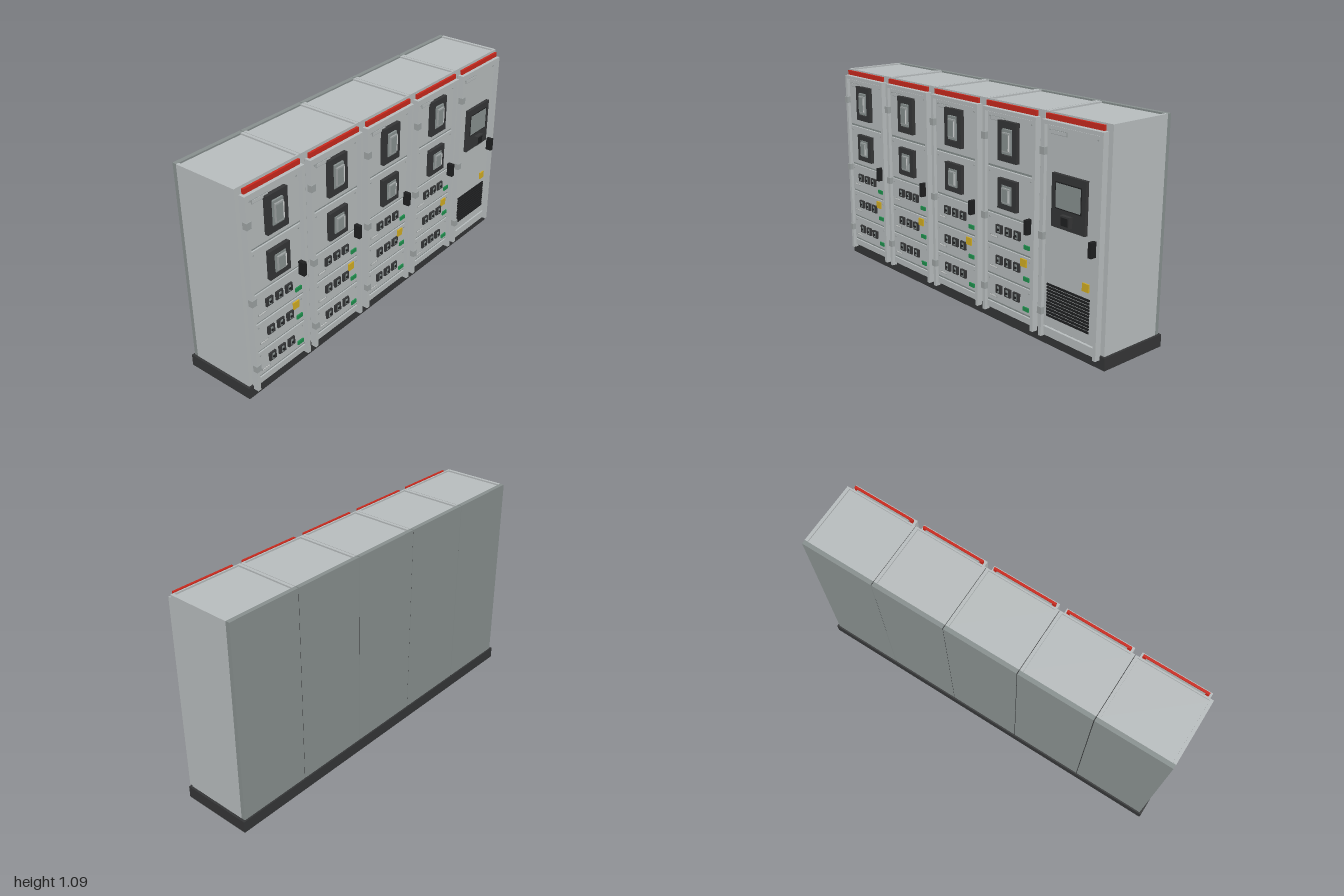
import * as THREE from 'three';

const mat = (name, color) => {
  const m = new THREE.MeshStandardMaterial({ color });
  m.name = name;
  return m;
};

export function createModel() {
  const M = {
    shell: mat('light grey steel', 0xb6bbbc),
    back: mat('mid grey steel', 0x868e8d),
    trim: mat('fitting grey', 0x9ba1a1),
    dark: mat('charcoal', 0x343536),
    black: mat('black', 0x1e1f20),
    red: mat('red', 0xc8281c),
    glass: mat('glass grey', 0x87908f),
    green: mat('green', 0x1f8f4d),
    yellow: mat('yellow', 0xd0ab22),
    pale: mat('pale grey', 0xd2d5d4),
  };

  // Box given by its min and max on each axis
  const box = (parent, name, m, x0, x1, y0, y1, z0, z1) => {
    const mesh = new THREE.Mesh(new THREE.BoxGeometry(x1 - x0, y1 - y0, z1 - z0), m);
    mesh.position.set((x0 + x1) / 2, (y0 + y1) / 2, (z0 + z1) / 2);
    mesh.name = name;
    parent.add(mesh);
    return mesh;
  };
  // Rectangular ring facing +z
  const ring = (parent, name, m, x0, x1, y0, y1, z0, z1, t) => {
    const s = new THREE.Shape([[x0, y0], [x1, y0], [x1, y1], [x0, y1]].map(p => new THREE.Vector2(...p)));
    s.holes.push(new THREE.Path([[x0 + t, y0 + t], [x0 + t, y1 - t], [x1 - t, y1 - t], [x1 - t, y0 + t]]
      .map(p => new THREE.Vector2(...p))));
    const mesh = new THREE.Mesh(new THREE.ExtrudeGeometry(s, { depth: z1 - z0, bevelEnabled: false }), m);
    mesh.position.z = z0;
    mesh.name = name;
    parent.add(mesh);
  };

  const DOOR = 0.18; // front surface of the doors
  const screw = (g, x, y) => {
    const s = new THREE.Mesh(new THREE.CylinderGeometry(0.004, 0.004, 0.004, 8), M.trim);
    s.rotation.x = Math.PI / 2;
    s.position.set(x, y, DOOR + 0.001);
    s.name = 'doorScrew';
    g.add(s);
  };
  const leaf = (g, y0, y1) => {
    box(g, 'doorLeaf', M.shell, -0.157, 0.155, y0, y1, 0.166, DOOR);
    for (const x of [-0.14, 0.14]) screw(g, x, y1 - 0.018);
  };

  // Steel carcass, door surround, hinges and handle shared by every bay
  const cabinet = (g) => {
    const w = 0.1965;
    box(g, 'carcass', M.shell, -w, w, 0.055, 1.08, -0.185, 0.155);
    box(g, 'backPanel', M.back, -w + 0.001, w - 0.001, 0.055, 1.088, -0.207, -0.185);
    for (const s of [-1, 1]) {
      const a = s * w, b = s * (w - 0.016);
      box(g, 'roofRail', M.shell, Math.min(a, b), Math.max(a, b), 1.08, 1.088, -0.185, 0.155);
    }
    box(g, 'roofFrontRail', M.shell, -w + 0.016, w - 0.016, 1.08, 1.088, 0.147, 0.155);
    box(g, 'doorBacking', M.trim, -0.172, 0.172, 0.062, 1.05, 0.155, 0.166);
    for (const s of [-1, 1]) {
      const a = s * 0.179, b = s * 0.161;
      box(g, 'doorPost', M.shell, Math.min(a, b), Math.max(a, b), 0.043, 1.057, 0.162, 0.194);
    }
    box(g, 'doorTopRail', M.shell, -0.161, 0.161, 1.039, 1.057, 0.162, 0.194);
    box(g, 'redStrip', M.red, -0.168, 0.168, 1.06, 1.084, 0.168, 0.18);
    box(g, 'stripBracket', M.trim, -0.15, 0.15, 1.064, 1.078, 0.155, 0.168);
    for (const y of [0.92, 0.532, 0.171]) {
      box(g, 'hinge', M.trim, -0.183, -0.155, y - 0.017, y + 0.017, 0.175, 0.2);
    }
    box(g, 'namePlate', M.trim, -0.132, -0.035, 0.999, 1.02, DOOR, 0.184);
    box(g, 'namePlateFace', M.shell, -0.129, -0.038, 1.002, 1.017, 0.184, 0.186);
    box(g, 'doorHandle', M.black, 0.131, 0.151, 0.513, 0.583, DOOR, 0.213);
  };

  // Large breaker window with a protruding operating body
  const breakerWindow = (g, y0, y1) => {
    const h = y1 - y0, c = (y0 + y1) / 2;
    box(g, 'breakerBezelBase', M.dark, -0.064, 0.062, y0, y1, DOOR, 0.191);
    ring(g, 'breakerBezel', M.dark, -0.065, 0.063, y0, y1, 0.191, 0.2, 0.03);
    box(g, 'breakerBody', M.glass, -0.033, 0.033, c - h * 0.31, c + h * 0.31, 0.191, 0.203);
    box(g, 'breakerFace', M.trim, -0.024, 0.028, c - h * 0.24, c + h * 0.24, 0.203, 0.212);
    box(g, 'breakerGlass', M.glass, -0.021, 0.018, c - h * 0.21, c + h * 0.21, 0.212, 0.2135);
    box(g, 'breakerLever', M.pale, 0.021, 0.026, c - h * 0.2, c + h * 0.2, 0.212, 0.214);
  };

  // Row of three small switches with its label and indicator
  const switchRow = (g, y) => {
    for (const x of [-0.067, -0.004, 0.058]) {
      box(g, 'switchBody', M.dark, x - 0.021, x + 0.021, y - 0.021, y + 0.021, DOOR, 0.19);
      box(g, 'switchFace', M.glass, x - 0.007, x + 0.007, y - 0.015, y + 0.015, 0.19, 0.192);
      box(g, 'switchToggle', M.black, x - 0.005, x + 0.005, y - 0.006, y + 0.004, 0.192, 0.196);
    }
    box(g, 'rowLabel', M.trim, -0.136, -0.083, y - 0.05, y - 0.037, DOOR, 0.183);
    box(g, 'rowLabelFace', M.pale, -0.133, -0.086, y - 0.047, y - 0.04, 0.183, 0.184);
    box(g, 'greenIndicator', M.green, 0.103, 0.141, y - 0.052, y - 0.032, DOOR, 0.187);
  };

  const feederBay = (g) => {
    cabinet(g);
    [[0.787, 1.034], [0.56, 0.773], [0.402, 0.548], [0.247, 0.39], [0.108, 0.235]].forEach(r => leaf(g, ...r));
    for (const y of [0.78, 0.554, 0.396, 0.241, 0.101]) {
      box(g, 'compartmentGap', M.back, -0.16, 0.16, y - 0.005, y + 0.005, 0.166, 0.174);
    }
    box(g, 'plinthPanel', M.shell, -0.157, 0.155, 0.062, 0.094, 0.166, DOOR);
    breakerWindow(g, 0.822, 1.01);
    breakerWindow(g, 0.593, 0.738);
    for (const y of [0.482, 0.327, 0.177]) switchRow(g, y);
    box(g, 'yellowTag', M.yellow, 0.083, 0.121, 0.342, 0.38, DOOR, 0.187);
  };

  const controlBay = (g) => {
    cabinet(g);
    leaf(g, 0.102, 1.034);
    box(g, 'plinthPanel', M.shell, -0.157, 0.155, 0.05, 0.092, 0.166, DOOR);
    // Operator screen with keypad block
    box(g, 'screenHousing', M.dark, -0.107, 0.096, 0.593, 0.835, DOOR, 0.197);
    box(g, 'screenBezel', M.black, -0.084, 0.073, 0.68, 0.801, 0.197, 0.1985);
    box(g, 'screenGlass', M.glass, -0.079, 0.068, 0.685, 0.796, 0.1985, 0.2);
    box(g, 'keypadBlock', M.dark, -0.033, 0.022, 0.612, 0.663, 0.197, 0.218);
    box(g, 'keypadFace', M.black, -0.026, 0.015, 0.619, 0.656, 0.218, 0.2195);
    box(g, 'yellowTag', M.yellow, 0.08, 0.118, 0.342, 0.38, DOOR, 0.187);
    // Ventilation louvres
    for (let i = 0; i < 11; i++) {
      const y = 0.156 + i * 0.015;
      box(g, 'ventSlat', M.black, -0.138, 0.123, y - 0.005, y + 0.005, DOOR, 0.185);
    }
  };

  const model = new THREE.Group();
  model.name = 'switchgearRow';
  box(model, 'plinth', M.dark, -1, 1, 0, 0.061, -0.215, 0.165);
  for (let i = 0; i < 5; i++) {
    const bay = new THREE.Group();
    bay.name = i < 4 ? 'feederBay' : 'controlBay';
    bay.position.x = (i - 2) * 0.396;
    (i < 4 ? feederBay : controlBay)(bay);
    model.add(bay);
    // Dark seam between neighbouring bays
    if (i) box(model, 'baySeam', M.dark, bay.position.x - 0.2, bay.position.x - 0.196, 0.06, 1.084, -0.204, 0.152);
  }
  return model;
}
